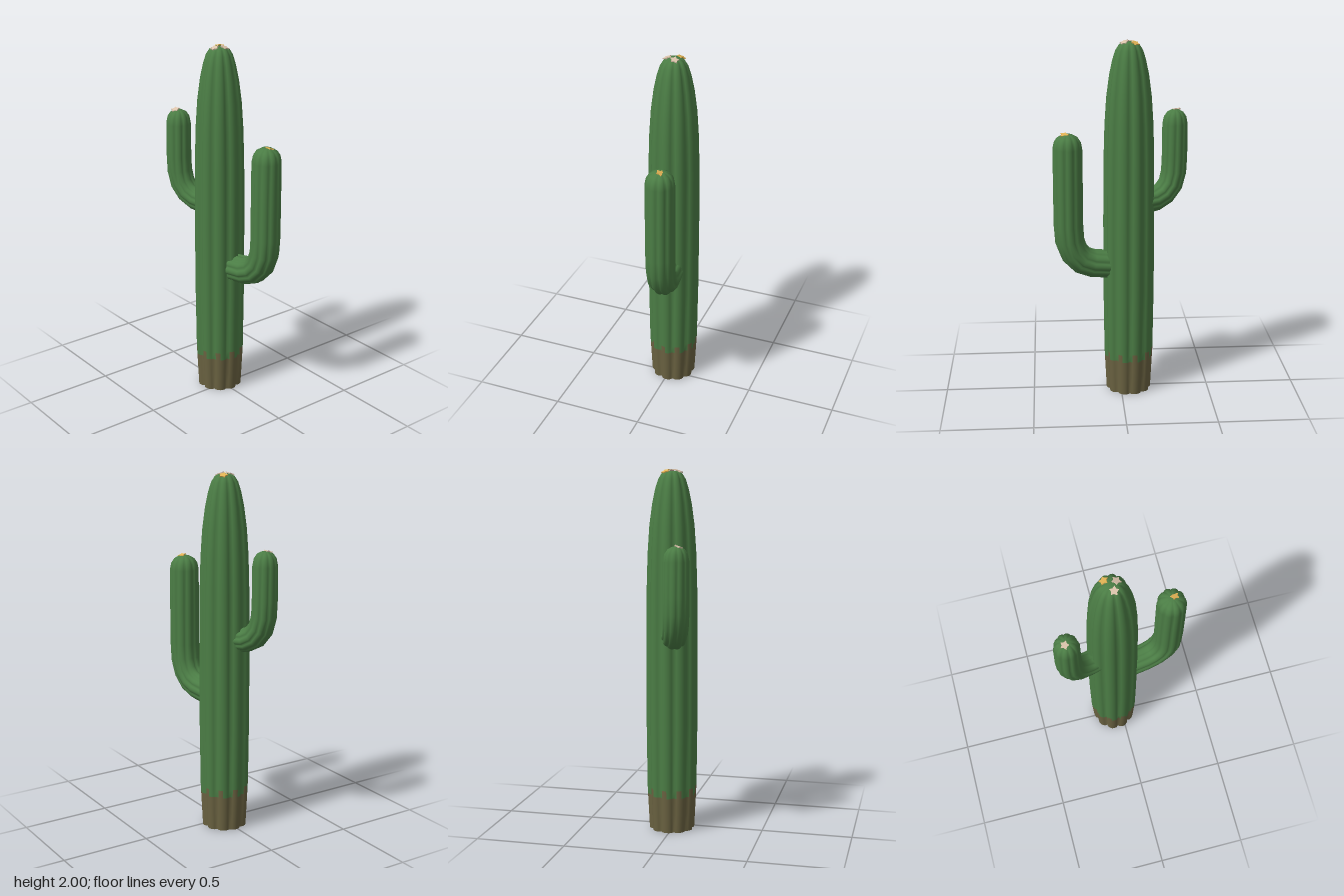
import * as THREE from 'three';

const RIBS = 10, STEPS = 6, N = RIBS * STEPS;

const mat = (name, color) => {
  const m = new THREE.MeshStandardMaterial({ color });
  m.name = name;
  return m;
};

// Ribbed tube through rings [x, y, z, radius]; side is the fixed sideways axis.
// Faces accepted by isBark(y of triangle top) go to the second material group.
function ribbedTube(rings, side, depth, isBark = () => false) {
  const pos = [], faces = [[], []];
  const centres = rings.map(r => new THREE.Vector3(r[0], r[1], r[2]));
  const last = rings.length - 1;
  rings.forEach((ring, i) => {
    const t = centres[Math.min(i + 1, last)].clone().sub(centres[Math.max(i - 1, 0)]).normalize();
    const v = t.cross(side);
    for (let j = 0; j < N; j++) {
      const a = (j / N) * Math.PI * 2;
      const r = ring[3] * (1 - depth + depth * Math.pow(Math.abs(Math.cos(a * RIBS / 2)), 0.7));
      const p = centres[i].clone().addScaledVector(side, r * Math.cos(a)).addScaledVector(v, r * Math.sin(a));
      pos.push(p.x, p.y, p.z);
    }
  });
  const tri = (a, b, c) => {
    const top = Math.max(pos[a * 3 + 1], pos[b * 3 + 1], pos[c * 3 + 1]);
    faces[isBark(top, a % N) ? 1 : 0].push(a, b, c);
  };
  for (let i = 0; i < last; i++) {
    for (let j = 0; j < N; j++) {
      const k = (j + 1) % N, a = i * N + j, b = i * N + k;
      tri(a, b, b + N);
      tri(a, b + N, a + N);
    }
  }
  // end caps: the root has its own rim so its edge stays sharp
  const rim = pos.length / 3;
  pos.push(...pos.slice(0, N * 3), ...rings[0].slice(0, 3), ...rings[last].slice(0, 3));
  for (let j = 0; j < N; j++) {
    const k = (j + 1) % N;
    tri(rim + k, rim + j, rim + N);
    tri(last * N + j, last * N + k, rim + N + 1);
  }
  const g = new THREE.BufferGeometry();
  g.setAttribute('position', new THREE.Float32BufferAttribute(pos, 3));
  g.setIndex([...faces[0], ...faces[1]]);
  g.addGroup(0, faces[0].length, 0);
  g.addGroup(faces[0].length, faces[1].length, 1);
  g.computeVertexNormals();
  return g;
}

// Thin five-pointed blossom lying in the xz plane
function blossomGeometry(radius) {
  const shape = new THREE.Shape();
  for (let i = 0; i < 10; i++) {
    const a = (i / 10) * Math.PI * 2 + Math.PI / 2, r = i % 2 ? radius * 0.6 : radius;
    shape[i ? 'lineTo' : 'moveTo'](r * Math.cos(a), r * Math.sin(a));
  }
  shape.closePath();
  return new THREE.ExtrudeGeometry(shape, { depth: 0.006, bevelEnabled: false }).rotateX(-Math.PI / 2);
}

export function createModel() {
  const group = new THREE.Group();
  group.name = 'cactus';
  const green = mat('cactusGreen', 0x4b7d45);
  const brown = mat('woodyBrown', 0x6a6241);
  const cream = mat('creamBlossom', 0xdcc4ac);
  const yellow = mat('yellowBlossom', 0xe2b354);
  const add = (name, geometry, material) => {
    const m = new THREE.Mesh(geometry, material);
    m.name = name;
    group.add(m);
    return m;
  };

  // Trunk with a woody base that ends in a ragged edge
  const cx = -0.045, cz = -0.009;
  const profile = [
    [0, 0.126], [0.1, 0.131], [0.2, 0.136], [0.245, 0.138], [0.6, 0.142], [1.0, 0.142], [1.35, 0.139],
    [1.55, 0.133], [1.7, 0.123], [1.82, 0.107], [1.9, 0.09], [1.95, 0.074], [1.98, 0.055], [1.992, 0.032],
  ];
  const trunk = ribbedTube(profile.map(([y, r]) => [cx, y, cz, r]), new THREE.Vector3(1, 0, 0), 0.13,
    (y, j) => y < 0.21 || (y < 0.25 && j % STEPS > 3));
  add('trunk', trunk, [green, brown]);

  // Arms: path points are [x, y, radius], z follows a straight line outwards
  const arm = (name, path, x0, z0, slope) => {
    const side = new THREE.Vector3(-slope, 0, 1).normalize();
    add(name, ribbedTube(path.map(([x, y, r]) => [x, y, z0 + (x - x0) * slope, r]), side, 0.1), green);
  };
  arm('leftArm', [
    [0.07, 0.76, 0.078], [0.155, 0.768, 0.079], [0.215, 0.792, 0.08], [0.26, 0.84, 0.081], [0.285, 0.91, 0.082],
    [0.291, 1.0, 0.082], [0.291, 1.2, 0.082], [0.291, 1.43, 0.081], [0.291, 1.465, 0.074], [0.291, 1.49, 0.058],
    [0.291, 1.506, 0.03],
  ], 0.07, -0.029, -0.145);
  arm('rightArm', [
    [-0.142, 1.105, 0.068], [-0.195, 1.112, 0.068], [-0.245, 1.14, 0.069], [-0.283, 1.19, 0.07],
    [-0.301, 1.26, 0.071], [-0.305, 1.35, 0.071], [-0.305, 1.53, 0.07], [-0.305, 1.57, 0.062],
    [-0.305, 1.595, 0.045], [-0.305, 1.607, 0.022],
  ], -0.142, 0.022, -0.33);

  // Blossoms: [material, x, y, z, tilt about x, tilt about z]
  const star = blossomGeometry(0.025);
  [
    [yellow, -0.075, 1.988, -0.036, -0.3, 0.3],
    [cream, -0.018, 1.99, -0.021, -0.1, -0.3],
    [cream, -0.04, 1.989, 0.026, 0.35, 0],
    [yellow, 0.306, 1.504, -0.068, -0.1, -0.25],
    [cream, -0.315, 1.606, 0.089, 0.2, 0.15],
  ].forEach(([m, x, y, z, rx, rz], i) => {
    const b = add('blossom' + (i + 1), star, m);
    b.position.set(x, y, z);
    b.rotation.set(rx, i * 0.5, rz);
  });
  return group;
}
